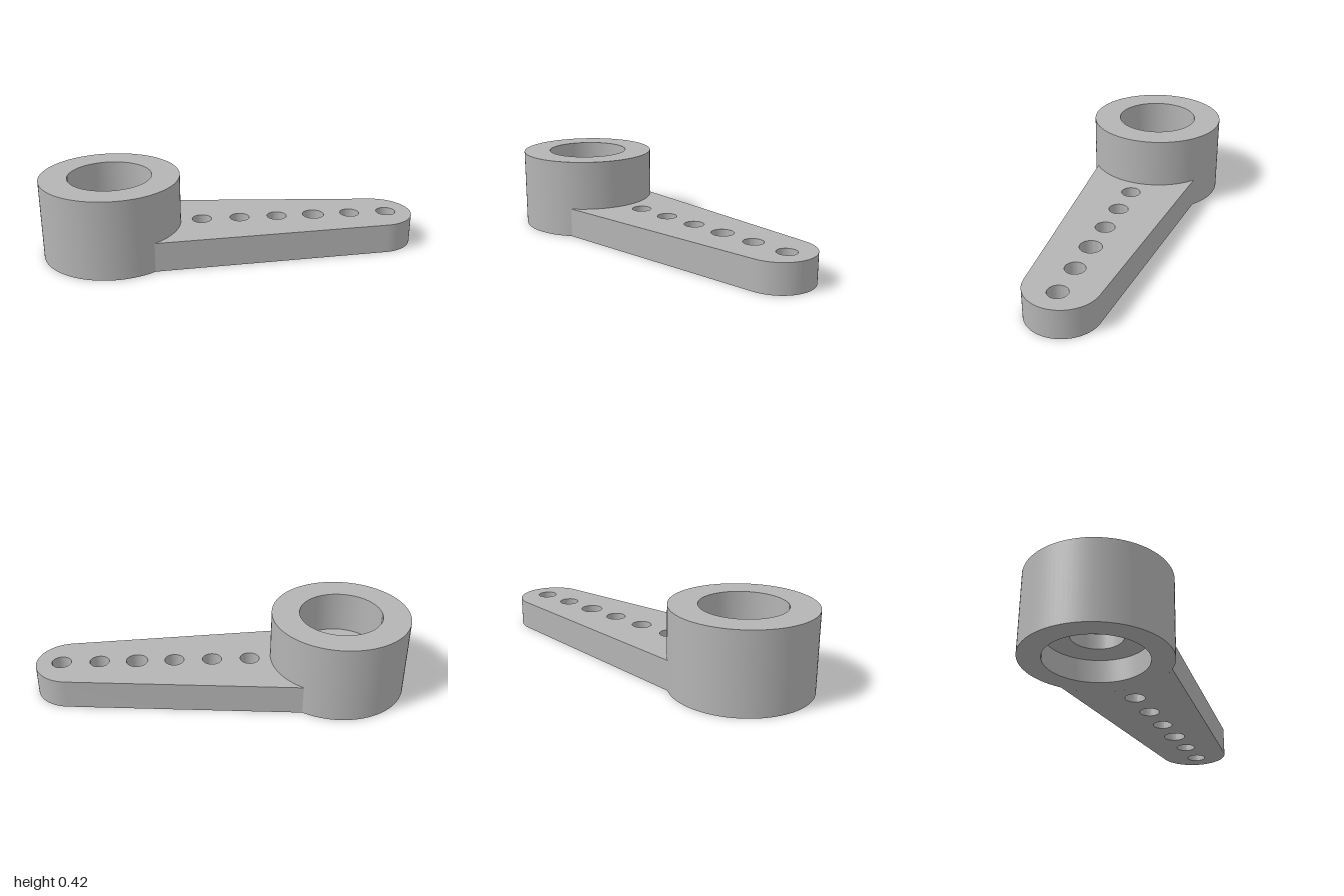
import * as THREE from 'three';
import { toCreasedNormals } from 'three/addons/utils/BufferGeometryUtils.js';

const HUB_X = -0.633, HUB_R = 0.367, HUB_H = 0.423;
const ARM_H = 0.158, TIP_X = 0.81, TIP_R = 0.19;

export function createModel() {
  const model = new THREE.Group();
  model.name = 'leverArm';
  const grey = new THREE.MeshStandardMaterial({ color: 0xb4b4b4 });
  grey.name = 'grey';

  const add = (name, geometry) => {
    const mesh = new THREE.Mesh(toCreasedNormals(geometry, 0.5), grey);
    mesh.name = name;
    model.add(mesh);
    return mesh;
  };

  // Hub: stepped bore with a thin web between the upper and lower recesses
  const profile = [
    [0.254, 0], [HUB_R, 0], [HUB_R, HUB_H], [0.22, HUB_H], [0.22, 0.2],
    [0.128, 0.2], [0.128, 0.12], [0.254, 0.12], [0.254, 0],
  ].map(([r, y]) => new THREE.Vector2(r, y));
  add('hub', new THREE.LatheGeometry(profile, 96)).position.x = HUB_X;

  // Tapered arm: concave edge against the hub, rounded tip
  const rootAngle = Math.asin(0.293 / HUB_R);
  const tipAngle = 1.486;
  const outline = new THREE.Shape();
  outline.absarc(HUB_X, 0, HUB_R, rootAngle, -rootAngle, true);
  outline.absarc(TIP_X, 0, TIP_R, -tipAngle, tipAngle, false);
  outline.closePath();

  // Row of linkage holes, the fourth slightly larger
  [-0.153, 0.052, 0.256, 0.458, 0.66, 0.864].forEach((x, i) => {
    const hole = new THREE.Path();
    hole.absarc(x, 0, i === 3 ? 0.058 : 0.052, 0, Math.PI * 2, true);
    outline.holes.push(hole);
  });

  const arm = new THREE.ExtrudeGeometry(outline, {
    depth: ARM_H, bevelEnabled: false, curveSegments: 40,
  });
  arm.rotateX(-Math.PI / 2);
  add('arm', arm);

  return model;
}
